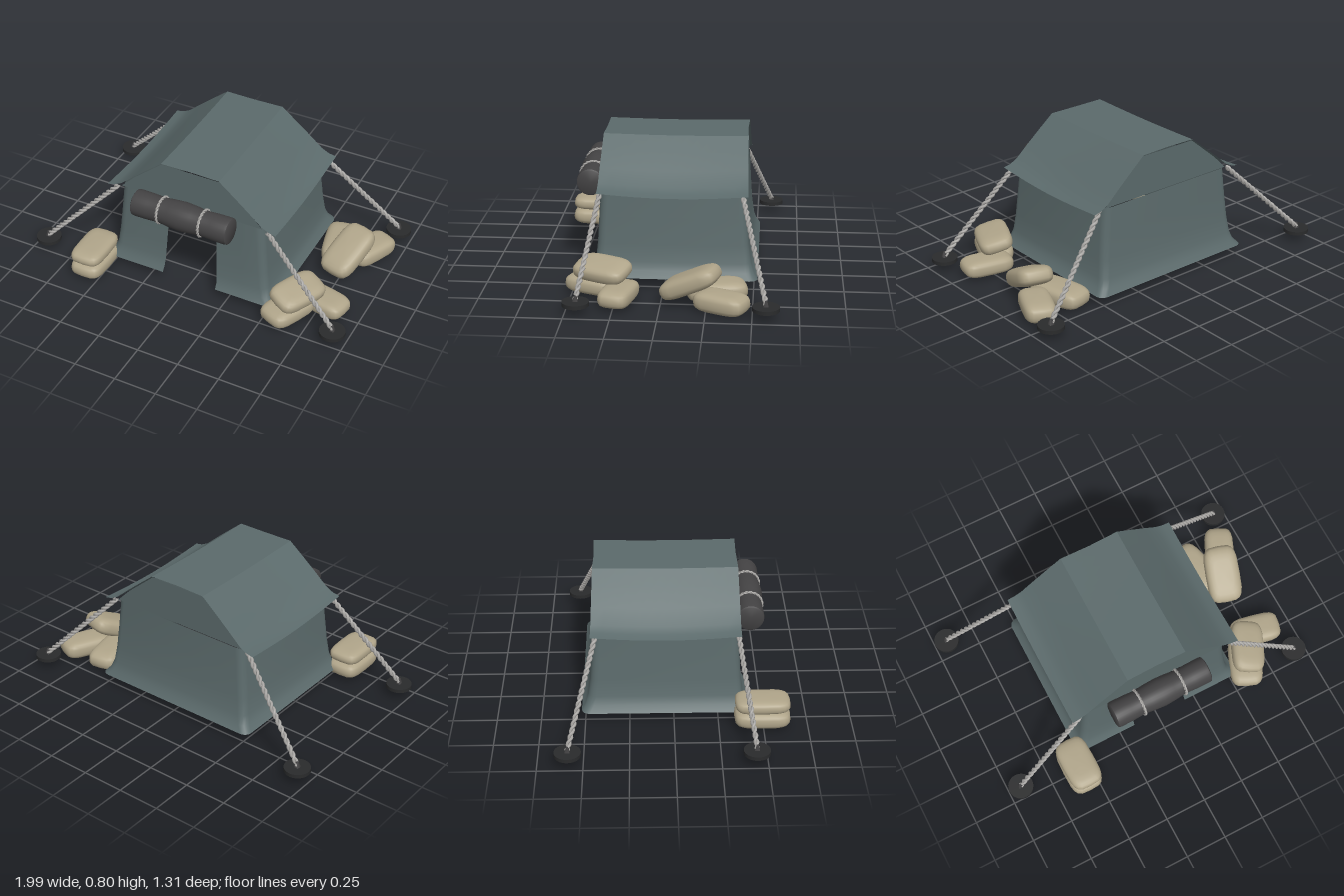
import * as THREE from 'three';
import { mergeVertices, toCreasedNormals } from 'three/addons/utils/BufferGeometryUtils.js';

const mat = (color, side = THREE.FrontSide) =>
  new THREE.MeshStandardMaterial({ color, side, roughness: 0.9 });
const V = (x, y, z) => new THREE.Vector3(x, y, z);

// Surface through rows of points; every row has the same length
function loft(rows) {
  const n = rows[0].length, index = [];
  for (let j = 0; j < rows.length - 1; j++)
    for (let i = 0; i < n - 1; i++) {
      const a = j * n + i, b = a + 1, c = a + n, d = c + 1;
      index.push(a, b, c, b, d, c);
    }
  const g = new THREE.BufferGeometry();
  g.setAttribute('position', new THREE.Float32BufferAttribute(rows.flat(2), 3));
  g.setIndex(index);
  return toCreasedNormals(g, 0.6);
}

function add(parent, name, geometry, material, x = 0, y = 0, z = 0) {
  const m = new THREE.Mesh(geometry, material);
  m.name = name;
  m.position.set(x, y, z);
  parent.add(m);
  return m;
}

// One level of the tent wall, from door edge around the back to the other door edge
function wallRow([y, hx, front, back, doorL, doorR]) {
  const r = 0.045, row = [[doorR, y, front], [(doorR + hx) / 2, y, front]];
  const corner = (cx, cz, start) => {
    for (let i = 0; i <= 4; i++) {
      const a = start - (i / 4) * Math.PI / 2;
      row.push([cx + r * Math.cos(a), y, cz + r * Math.sin(a)]);
    }
  };
  corner(hx - r, front - r, Math.PI / 2);
  corner(hx - r, back + r, 0);
  corner(-hx + r, back + r, -Math.PI / 2);
  corner(-hx + r, front - r, -Math.PI);
  row.push([(doorL - hx) / 2, y, front], [doorL, y, front]);
  return row;
}

// Twisted two-strand rope along a curve
function ropeGeometry(curve, strand, radius, turns, segments) {
  const f = curve.computeFrenetFrames(segments, curve.closed === true);
  const pts = [];
  for (let i = 0; i <= segments; i++) {
    const t = i / segments, a = strand * Math.PI + t * turns * Math.PI * 2;
    pts.push(curve.getPointAt(t)
      .addScaledVector(f.normals[i], Math.cos(a) * radius * 0.55)
      .addScaledVector(f.binormals[i], Math.sin(a) * radius * 0.55));
  }
  return new THREE.TubeGeometry(new THREE.CatmullRomCurve3(pts), segments, radius * 0.62, 6);
}

// Plump, boxy sack
function bagGeometry(w, h, d) {
  let g = new THREE.SphereGeometry(1, 20, 12);
  g.deleteAttribute('uv');
  g.deleteAttribute('normal');
  const p = g.attributes.position;
  const s = (v, e) => Math.sign(v) * Math.abs(v) ** e;
  for (let i = 0; i < p.count; i++)
    p.setXYZ(i, s(p.getX(i), 0.5) * w / 2, s(p.getY(i), 0.75) * h / 2, s(p.getZ(i), 0.5) * d / 2);
  g = mergeVertices(g, 1e-4);
  g.computeVertexNormals();
  return g;
}

export function createModel() {
  const model = new THREE.Group();
  model.name = 'tentCamp';
  const canvas = mat(0x5b6a6b, THREE.DoubleSide);
  const dark = mat(0x444344), black = mat(0x2a2b2c);
  const ropeMat = mat(0xaaa8a5), sack = mat(0xb0a58a);

  // Tent walls: y, half width, front z, back z, door edges
  const tent = new THREE.Group();
  tent.name = 'tent';
  model.add(tent);
  add(tent, 'walls', loft([
    [0.56, 0.445, 0.36, -0.45, -0.13, 0.16],
    [0.40, 0.46, 0.368, -0.458, -0.14, 0.165],
    [0.25, 0.475, 0.376, -0.468, -0.15, 0.17],
    [0.15, 0.488, 0.386, -0.482, -0.155, 0.175],
    [0.10, 0.505, 0.398, -0.498, -0.158, 0.18],
    [0.065, 0.535, 0.418, -0.52, -0.16, 0.18],
  ].map(wallRow)), canvas);

  // Gables closing the ends under the roof
  const half = [[0.445, 0.56], [0.36, 0.645], [0.27, 0.72], [0.18, 0.795]];
  const outline = [...half, ...half.map(([x, y]) => [-x, y]).reverse()];
  const gable = new THREE.ShapeGeometry(new THREE.Shape(outline.map(p => new THREE.Vector2(...p))));
  add(tent, 'frontGable', gable, canvas, 0, 0, 0.36);
  add(tent, 'backGable', gable, canvas, 0, 0, -0.445).rotation.y = Math.PI;

  // Roof sheet, sagging a little between its ends, with turned-out eaves
  const side = [[0.53, 0.553], [0.485, 0.562], [0.44, 0.585], [0.36, 0.655], [0.27, 0.73], [0.18, 0.803]];
  const section = [...side.map(([x, y]) => [-x, y]), [0, 0.804], ...side.slice().reverse()];
  const roofRows = [];
  for (let j = 0; j <= 12; j++) {
    const t = j / 12, sag = Math.sin(t * Math.PI);
    roofRows.push(section.map(([x, y]) => {
      const out = Math.abs(x) / 0.53;
      return [x, y - sag * (0.004 + 0.016 * out * out),
        THREE.MathUtils.lerp(-0.447 - 0.016 * out, 0.363 + 0.01 * out, t)];
    }));
  }
  add(tent, 'roof', loft(roofRows.reverse()), canvas);

  // Rolled door flap with its two ties
  const roll = new THREE.Group();
  roll.name = 'doorRoll';
  roll.position.set(-0.01, 0.542, 0.435);
  model.add(roll);
  const profile = [[0, -0.3], [0.068, -0.3], [0.076, -0.295], [0.078, -0.28], [0.077, -0.2], [0.073, -0.13],
    [0.08, -0.07], [0.085, 0], [0.08, 0.07], [0.073, 0.13], [0.077, 0.2], [0.078, 0.28], [0.076, 0.295],
    [0.068, 0.3], [0, 0.3]].map(p => new THREE.Vector2(...p));
  const rollGeo = toCreasedNormals(new THREE.LatheGeometry(profile, 32), 0.6);
  add(roll, 'rolledCanvas', rollGeo, dark).rotation.z = Math.PI / 2;
  for (const x of [-0.13, 0.13]) {
    const ring = [];
    for (let i = 0; i < 24; i++) {
      const a = i / 24 * Math.PI * 2;
      ring.push(V(x, Math.cos(a) * 0.076, Math.sin(a) * 0.076));
    }
    const loop = new THREE.CatmullRomCurve3(ring, true);
    for (const s of [0, 1]) add(roll, 'rollTie', ropeGeometry(loop, s, 0.008, 10, 80), ropeMat);
  }

  // Guy ropes and their weighted feet
  for (const [sx, footX, footZ, eaveZ] of [
    [-1, 0.925, -0.585, -0.43], [1, 0.92, -0.573, -0.43],
    [-1, 0.925, 0.44, 0.355], [1, 0.92, 0.44, 0.355],
  ]) {
    const guy = new THREE.Group();
    guy.name = 'guyLine';
    model.add(guy);
    const x = sx * footX;
    add(guy, 'foot', new THREE.CylinderGeometry(0.074, 0.074, 0.022, 24), black, x, 0.066, footZ);
    const peg = add(guy, 'peg', new THREE.CylinderGeometry(0.008, 0.02, 0.035, 4), dark, x, 0.092, footZ);
    peg.rotation.y = Math.PI / 4;
    const line = new THREE.LineCurve3(V(sx * 0.47, 0.55, eaveZ), V(x, 0.085, footZ));
    for (const s of [0, 1]) add(guy, 'rope', ropeGeometry(line, s, 0.014, 9, 110), ropeMat);
  }

  // Sandbags: centre, size, pitch, yaw, roll
  const bags = [
    [-0.57, 0.07, 0.493, 0.2, 0.1, 0.315, 0, 0, 0],
    [-0.57, 0.155, 0.493, 0.195, 0.08, 0.31, 0, 0.02, 0],
    [0.775, 0.07, 0.225, 0.18, 0.1, 0.3, 0, 1.35, 0],
    [0.62, 0.07, 0.375, 0.2, 0.1, 0.31, 0, -0.4, 0],
    [0.655, 0.165, 0.325, 0.2, 0.095, 0.32, 0, -0.43, -0.25],
    [0.65, 0.062, -0.3, 0.19, 0.11, 0.34, 0, 0.22, 0],
    [0.835, 0.062, -0.335, 0.18, 0.11, 0.3, 0, -0.42, 0],
    [0.757, 0.143, -0.163, 0.21, 0.11, 0.35, 0.45, -0.28, 0],
  ];
  for (const [x, y, z, w, h, d, pitch, yaw, rollZ] of bags)
    add(model, 'sandbag', bagGeometry(w, h, d), sack, x, y, z).rotation.set(pitch, yaw, rollZ, 'YXZ');

  return model;
}
